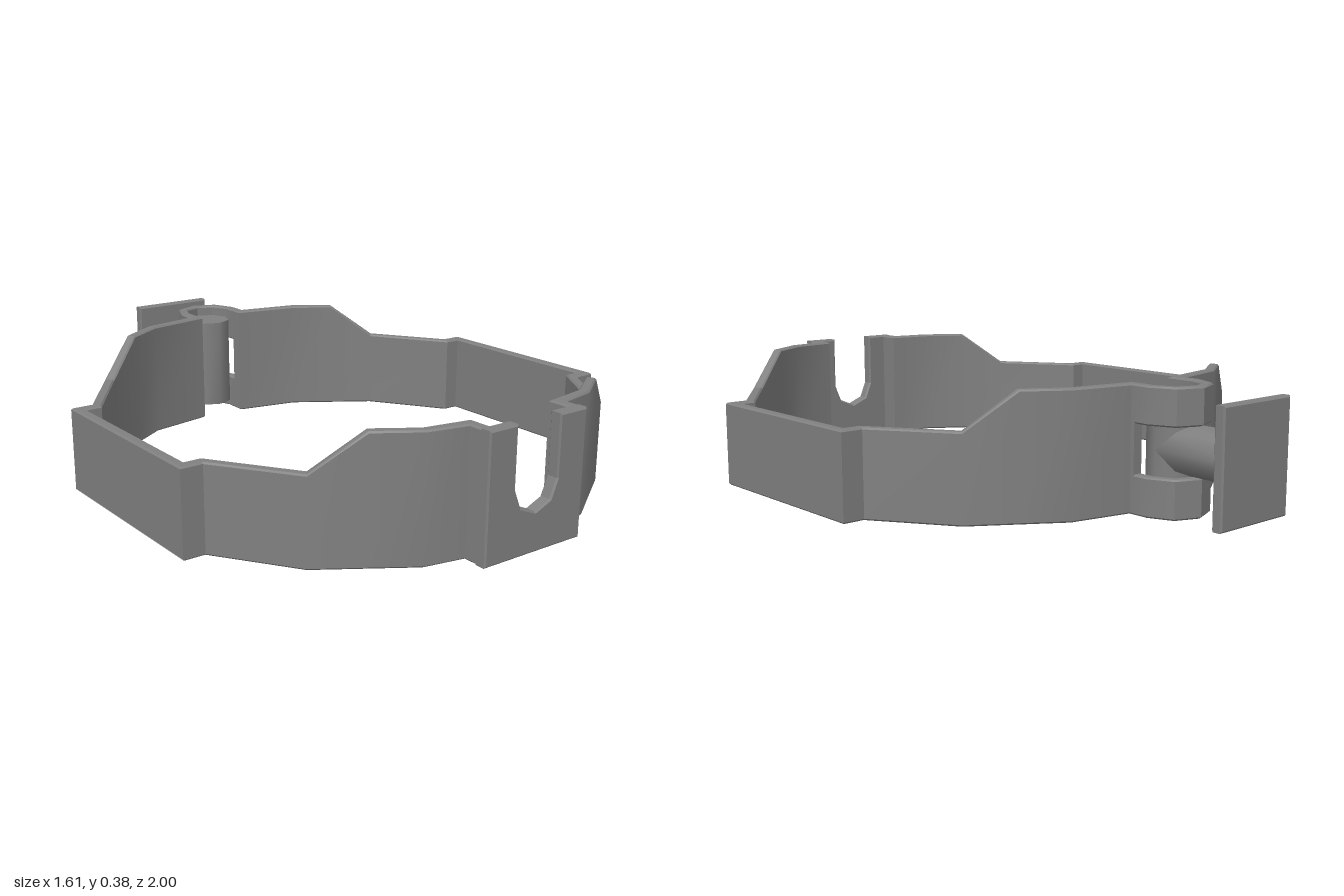
import * as THREE from 'three';
import { toCreasedNormals } from 'three/addons/utils/BufferGeometryUtils.js';

const material = new THREE.MeshStandardMaterial({ color: 0x808080 });
const LOW = 0.27, HIGH = 0.385, PIN_R = 0.078, PIN_Z = -0.7, BAR_Y = 0.195;

// Sweeps a chamfered upright wall through stations [outerX, outerZ, innerX, innerZ, top].
function wall(stations, bottom = 0) {
  const c = 0.005, s = 0.16;
  const rings = stations.map(([ox, oz, ix, iz, top]) =>
    [[0, bottom + c], [0, top - c], [s, top], [1 - s, top],
      [1, top - c], [1, bottom + c], [1 - s, bottom], [s, bottom]]
      .map(([t, y]) => [ox + (ix - ox) * t, y, oz + (iz - oz) * t]));
  const n = 8, pos = [];
  const tri = (a, b, d) => pos.push(...a, ...b, ...d);
  for (let i = 0; i < rings.length - 1; i++) {
    for (let j = 0; j < n; j++) {
      const k = (j + 1) % n, A = rings[i], B = rings[i + 1];
      tri(A[j], B[j], B[k]);
      tri(A[j], B[k], A[k]);
    }
  }
  const first = rings[0], last = rings[rings.length - 1];
  for (let j = 1; j < n - 1; j++) {
    tri(first[0], first[j], first[j + 1]);
    tri(last[0], last[j + 1], last[j]);
  }
  const g = new THREE.BufferGeometry();
  g.setAttribute('position', new THREE.Float32BufferAttribute(pos, 3));
  return toCreasedNormals(g, 0.6);
}

const mirror = (stations) =>
  stations.map(([ox, oz, ix, iz, top]) => [-ox, oz, -ix, iz, top]).reverse();

// Upright plate with slightly bevelled edges, between two z depths.
function plate(points, z0, z1) {
  const b = 0.005;
  const shape = new THREE.Shape(points.map(([x, y]) => new THREE.Vector2(x, y)));
  const g = new THREE.ExtrudeGeometry(shape, {
    depth: z1 - z0 - 2 * b, bevelEnabled: true, bevelSize: b,
    bevelThickness: b, bevelOffset: -b, bevelSegments: 1,
  });
  return g.translate(0, 0, z0 + b);
}

export function createModel() {
  const model = new THREE.Group();
  const add = (name, geometry) => {
    const mesh = new THREE.Mesh(geometry, material);
    mesh.name = name;
    model.add(mesh);
    return mesh;
  };

  // Half of the ring, from the front tab round the side to the back hinge
  const half = [
    [0.184, 0.975, 0.15, 0.975, HIGH],
    [0.184, 0.922, 0.15, 0.89, HIGH],
    [0.31, 0.897, 0.30, 0.865, HIGH],
    [0.435, 0.815, 0.42, 0.786, HIGH],
    [0.57, 0.727, 0.55, 0.70, LOW],
    [0.735, 0.484, 0.72, 0.447, LOW],
    [0.805, 0.484, 0.772, 0.447, LOW],
    [0.805, -0.184, 0.772, -0.147, LOW],
    [0.735, -0.184, 0.72, -0.147, LOW],
    [0.57, -0.427, 0.55, -0.40, LOW],
    [0.435, -0.515, 0.42, -0.486, HIGH],
    [0.31, -0.597, 0.30, -0.565, HIGH],
    [0.113, -0.637, 0.08, -0.608, HIGH],
    [0.113, -0.65, 0.08, -0.65, HIGH],
  ];
  add('leftRingHalf', wall(half));
  add('rightRingHalf', wall(mirror(half)));

  // Front tab with a slot open at the top
  const slot = [];
  for (let i = 0; i <= 4; i++) {
    const a = Math.PI + (i * Math.PI) / 4;
    slot.push([0.08 * Math.cos(a), 0.2 + 0.08 * Math.sin(a)]);
  }
  add('slottedTab', plate(
    [[-0.184, HIGH], [-0.184, 0], [0.184, 0], [0.184, HIGH], [0.08, HIGH],
      ...slot.reverse(), [-0.08, HIGH]], 0.96, 1));

  // Hinge loops above and below the window
  const loop = (top) => {
    const side = [
      [0.113, -0.65, 0.08, -0.65, top],
      [0.113, -0.70, 0.08, -0.70, top],
      [0.08, -0.78, 0.055, -0.757, top],
    ];
    return [...side, [0, -0.812, 0, -0.778, top], ...mirror(side)];
  };
  add('lowerHingeLoop', wall(loop(0.12)));
  add('upperHingeLoop', wall(loop(HIGH), LOW));

  // Hinge pin, its arm and the end plate
  const rod = (length) =>
    toCreasedNormals(new THREE.CylinderGeometry(PIN_R, PIN_R, length, 8), 0.9);
  add('hingePin', rod(0.315)).position.set(0, 0.193, PIN_Z);
  const arm = add('hingeArm', rod(0.28));
  arm.rotation.x = Math.PI / 2;
  arm.position.set(0, BAR_Y, PIN_Z - 0.14);
  add('endPlate', plate(
    [[-0.147, 0.02], [0.147, 0.02], [0.147, 0.367], [-0.147, 0.367]], -1, -0.966));

  return model;
}
